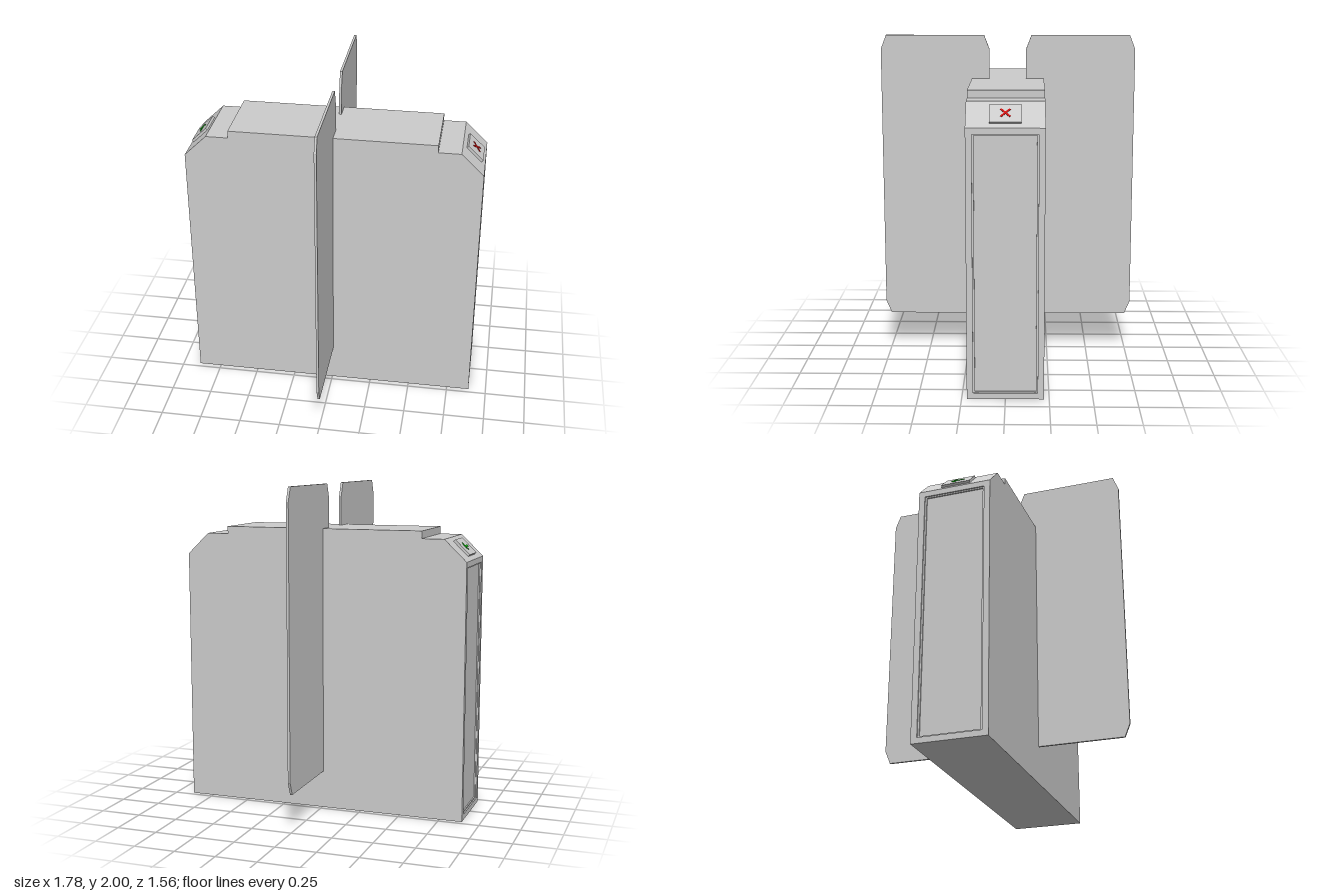
import * as THREE from 'three';

const grey = new THREE.MeshStandardMaterial({ color: 0xcccccc });
const red = new THREE.MeshStandardMaterial({ color: 0xcc1111 });
const green = new THREE.MeshStandardMaterial({ color: 0x11bb11 });

function shapeOf(points) {
  return new THREE.Shape(points.map(([x, y]) => new THREE.Vector2(x, y)));
}

function rect(halfWidth, y0, y1) {
  return [[-halfWidth, y0], [halfWidth, y0], [halfWidth, y1], [-halfWidth, y1]];
}

function extrude(shape, depth) {
  return new THREE.ExtrudeGeometry(shape, { depth, bevelEnabled: false });
}

function add(parent, name, geometry, material = grey) {
  const mesh = new THREE.Mesh(geometry, material);
  mesh.name = name;
  parent.add(mesh);
  return mesh;
}

// Flat stroke lying on top of a display, from a to b in (x, z)
function stroke(parent, name, a, b, width, material) {
  const dx = b[0] - a[0], dz = b[1] - a[1];
  const mesh = add(parent, name, new THREE.BoxGeometry(Math.hypot(dx, dz), 0.004, width), material);
  mesh.position.set((a[0] + b[0]) / 2, 0.016, (a[1] + b[1]) / 2);
  mesh.rotation.y = -Math.atan2(dz, dx);
}

export function createModel() {
  const model = new THREE.Group();
  model.name = 'accessGate';

  // Cabinet: stepped, chamfered profile; its ends sit behind the frames
  const half = [[0.874, 0], [0.874, 1.54], [0.89, 1.54], [0.89, 1.56], [0.755, 1.69], [0.62, 1.69], [0.62, 1.735]];
  const mirrored = half.map(([x, y]) => [-x, y]).reverse();
  const cabinet = add(model, 'cabinet', extrude(shapeOf([...half, ...mirrored]), 0.44));
  cabinet.position.z = -0.22;

  for (const side of [1, -1]) {
    const end = new THREE.Group();
    end.name = side > 0 ? 'leftEnd' : 'rightEnd';
    end.rotation.y = side > 0 ? 0 : Math.PI;
    model.add(end);

    // Two stepped frames around the recessed end panel
    const steps = [[0.874, 0.174, 0.042, 1.518], [0.882, 0.184, 0.034, 1.526]];
    for (const [x, w, y0, y1] of steps) {
      const shape = shapeOf(rect(0.22, 0, 1.54));
      shape.holes.push(shapeOf(rect(w, y0, y1)));
      const frame = add(end, 'endFrame', extrude(shape, 0.008));
      frame.rotation.y = Math.PI / 2;
      frame.position.x = x;
    }

    // Tilted display on the chamfer; local y is the chamfer normal
    const display = new THREE.Group();
    display.name = 'display';
    display.position.set(0.8225, 1.625, 0);
    display.rotation.z = -Math.atan2(0.13, 0.135);
    end.add(display);
    add(display, 'displayPad', new THREE.BoxGeometry(0.125, 0.03, 0.177));

    if (side > 0) {
      stroke(display, 'stopCross', [-0.026, -0.026], [0.026, 0.026], 0.011, red);
      stroke(display, 'stopCross', [-0.026, 0.026], [0.026, -0.026], 0.011, red);
    } else {
      stroke(display, 'goArrowShaft', [0, -0.04], [0, 0.036], 0.013, green);
      stroke(display, 'goArrowHead', [0.026, 0.01], [0, 0.036], 0.012, green);
      stroke(display, 'goArrowHead', [-0.026, 0.01], [0, 0.036], 0.012, green);
    }

    // Barrier leaf with clipped corners, standing out to front or back
    const leafShape = shapeOf([
      [0.145, 0.23], [0.745, 0.23], [0.778, 0.31], [0.778, 1.915],
      [0.745, 2], [0.145, 2], [0.112, 1.915], [0.112, 0.31],
    ]);
    const leaf = add(model, side > 0 ? 'frontLeaf' : 'backLeaf', extrude(leafShape, 0.014));
    leaf.rotation.y = -side * Math.PI / 2;
    leaf.position.x = side * 0.007;
  }

  return model;
}
